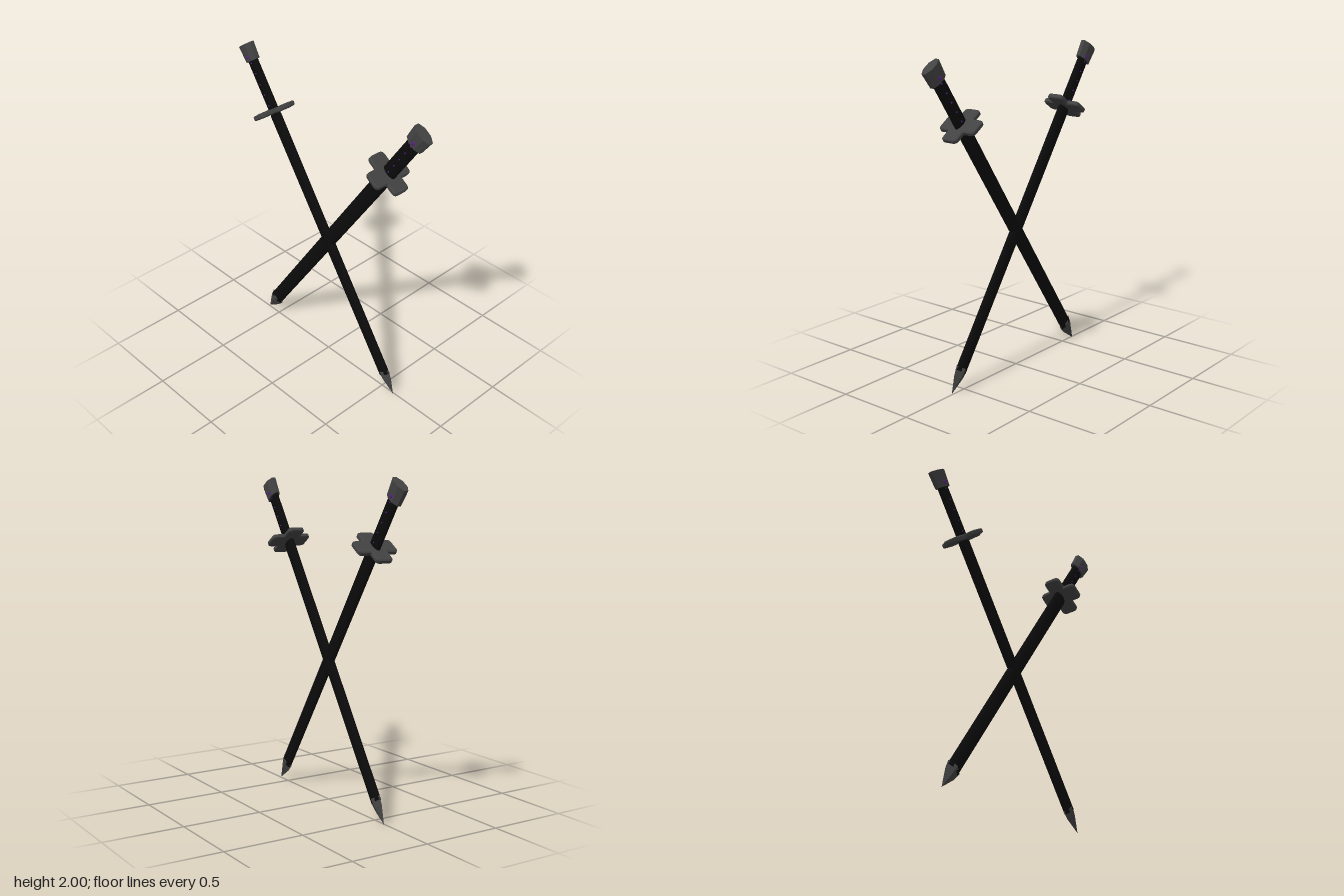
import * as THREE from 'three';

const black = new THREE.MeshStandardMaterial({ color: 0x0b0b0b });
black.name = 'black lacquer';
const grey = new THREE.MeshStandardMaterial({ color: 0x424242 });
grey.name = 'dark grey metal';
const purple = new THREE.MeshStandardMaterial({ color: 0x5c1a94 });
purple.name = 'purple inlay';

const TILT = 0.597;    // lean of each sword from vertical
const CROSS_Y = 0.889; // height where the swords cross

function flat(geometry) {
  const g = geometry.index ? geometry.toNonIndexed() : geometry;
  g.computeVertexNormals();
  return g;
}

function add(parent, name, geometry, material) {
  const mesh = new THREE.Mesh(geometry, material);
  mesh.name = name;
  parent.add(mesh);
  return mesh;
}

// Tapered prism along y, from y0 to y1, flattened in z
function prism(top, bottom, y0, y1, sides, depth) {
  const g = new THREE.CylinderGeometry(top, bottom, y1 - y0, sides, 1, false, Math.PI / sides);
  g.translate(0, (y0 + y1) / 2, 0);
  g.scale(1, 1, depth);
  return g;
}

// Four-armed guard outline with rounded arm corners
function guardShape(reach, half, r) {
  const shape = new THREE.Shape();
  for (let i = 0; i < 4; i++) {
    const c = Math.cos(i * Math.PI / 2), s = Math.sin(i * Math.PI / 2);
    const at = (x, y) => [x * c - y * s, x * s + y * c];
    if (i === 0) shape.moveTo(...at(half, -half));
    else shape.lineTo(...at(half, -half));
    shape.lineTo(...at(reach - r, -half));
    shape.quadraticCurveTo(...at(reach, -half), ...at(reach, -half + r));
    shape.lineTo(...at(reach, half - r));
    shape.quadraticCurveTo(...at(reach, half), ...at(reach - r, half));
  }
  shape.closePath();
  return shape;
}

function makeSword(name) {
  const sword = new THREE.Group();
  sword.name = name;

  // Long oval sheath
  add(sword, 'sheath', prism(0.05, 0.046, -0.93, 0.84, 16, 0.44), black);

  // Faceted pointed cap at the end of the sheath
  const profile = [[0, -1.073], [0.044, -0.965], [0.055, -0.908], [0, -0.9]]
    .map(([x, y]) => new THREE.Vector2(x, y));
  const cap = new THREE.LatheGeometry(profile, 4);
  cap.scale(1, 1, 0.52);
  add(sword, 'sheathTip', flat(cap), grey);

  // Cross-shaped guard
  const guard = new THREE.ExtrudeGeometry(guardShape(0.126, 0.049, 0.02), {
    depth: 0.018, bevelThickness: 0.006, bevelSize: 0.007, bevelSegments: 1, curveSegments: 3,
  });
  guard.rotateX(-Math.PI / 2);
  guard.translate(0, 0.857, 0);
  add(sword, 'guard', guard, grey);

  // Grip and octagonal pommel
  add(sword, 'grip', prism(0.046, 0.046, 0.83, 1.21, 16, 0.45), black);
  add(sword, 'pommel', flat(prism(0.0714, 0.064, 1.195, 1.302, 8, 0.49)), grey);

  // Diamond studs showing on both faces of the grip
  for (const y of [0.905, 0.975, 1.044, 1.113, 1.182]) {
    const stud = add(sword, 'gripStud', new THREE.OctahedronGeometry(1), purple);
    stud.scale.set(0.019, 0.019, 0.029);
    stud.position.y = y;
  }
  // Small studs on the pommel faces
  for (const side of [-1, 1]) {
    const stud = add(sword, 'pommelStud', new THREE.OctahedronGeometry(1), purple);
    stud.scale.set(0.016, 0.016, 0.005);
    stud.position.set(0, 1.223, side * 0.0295);
  }
  return sword;
}

export function createModel() {
  const model = new THREE.Group();
  model.name = 'crossedSwords';
  for (const side of [-1, 1]) {
    const sword = makeSword(side > 0 ? 'leftSword' : 'rightSword');
    sword.position.y = CROSS_Y;
    sword.rotation.z = -side * TILT;
    model.add(sword);
  }
  model.rotation.y = -0.012;
  return model;
}
